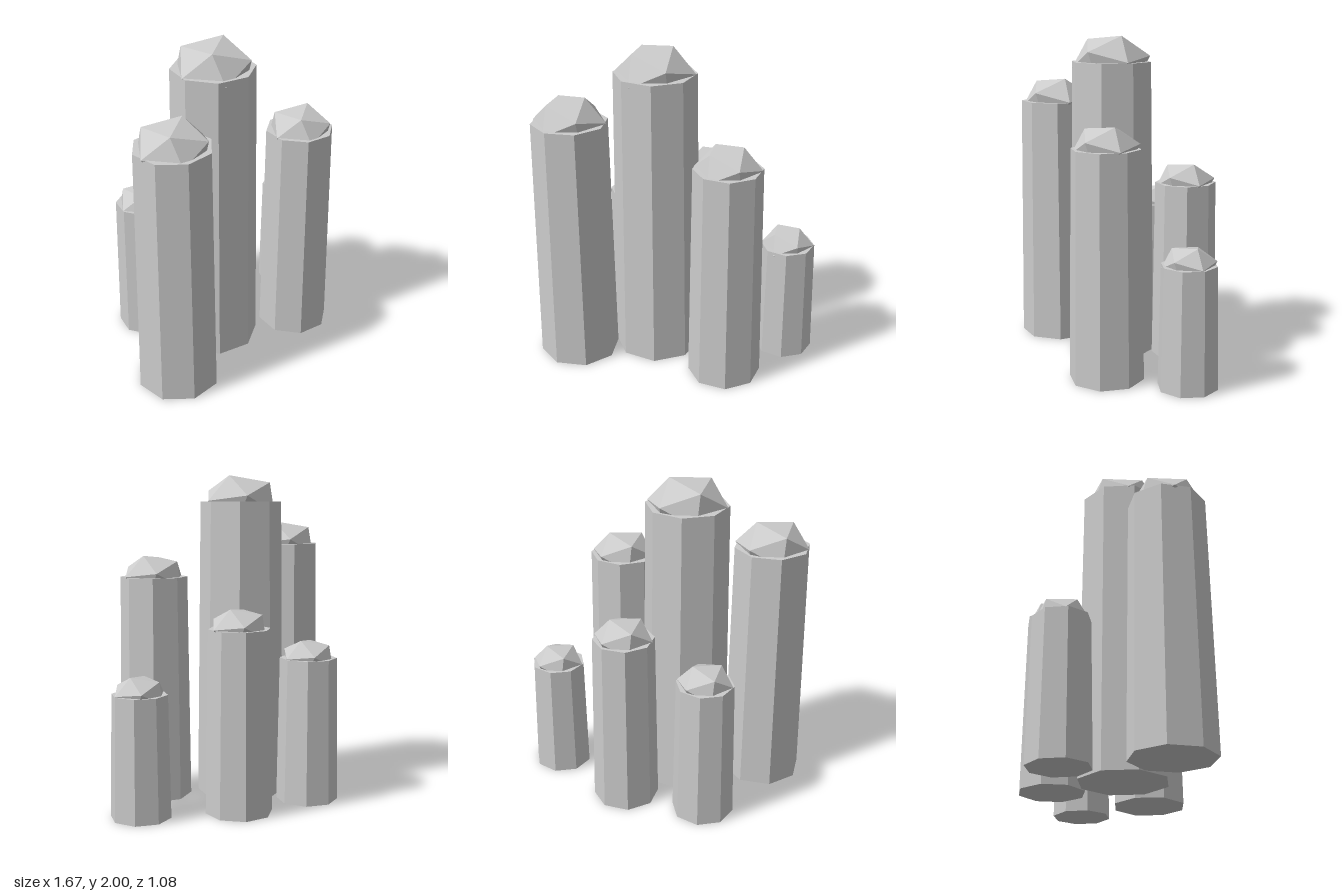
import * as THREE from 'three';

// Columns: base centre x, z, base radius, rim height, turn in degrees
const COLUMNS = [
  [-0.136, 0.058, 0.272, 1.84, 15],
  [-0.59, 0.295, 0.25, 1.565, 32],
  [0.375, 0.243, 0.224, 1.38, 19],
  [0.096, -0.35, 0.203, 1.105, 28],
  [-0.41, -0.308, 0.19, 0.89, 12],
  [0.654, -0.167, 0.181, 0.735, 11],
];

// Shared tilt of every crystal cap
function capTilt() {
  const e1 = new THREE.Vector3(0.77, 0.13, -0.62).normalize();
  const e2 = new THREE.Vector3(0.62, -0.17, 0.77).cross(e1).normalize();
  const e3 = new THREE.Vector3().crossVectors(e1, e2);
  return new THREE.Matrix4().makeBasis(e1, e2, e3);
}

export function createModel() {
  const model = new THREE.Group();
  model.name = 'crystalCluster';
  const material = new THREE.MeshStandardMaterial({ color: 0xcccccc, flatShading: true });
  const tilt = capTilt();

  for (const [x, z, r, h, turn] of COLUMNS) {
    const crystal = new THREE.Group();
    crystal.name = 'crystal';
    crystal.position.set(x, 0, z);

    // Tapered eight-sided shaft
    const shaft = new THREE.Mesh(new THREE.CylinderGeometry(r * 0.92, r, h, 8), material);
    shaft.name = 'shaft';
    shaft.position.y = h / 2;
    shaft.rotation.y = THREE.MathUtils.degToRad(turn);

    // Flattened faceted cap, half sunk into the shaft
    const capGeometry = new THREE.IcosahedronGeometry(r * 0.9, 0);
    capGeometry.applyMatrix4(tilt).scale(1, 0.72, 1);
    const cap = new THREE.Mesh(capGeometry, material);
    cap.name = 'cap';
    cap.position.y = h;

    crystal.add(shaft, cap);
    model.add(crystal);
  }
  return model;
}
